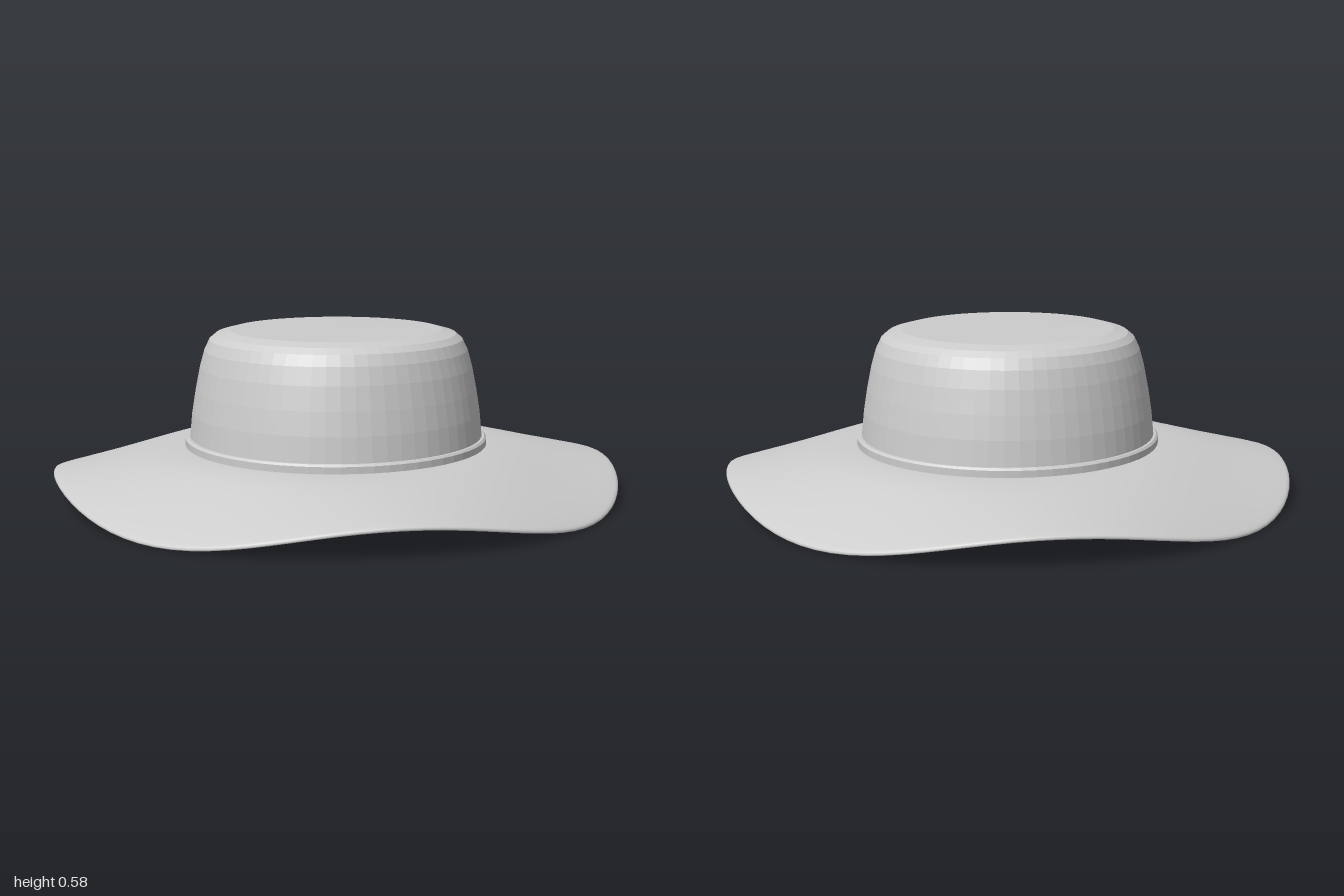
import * as THREE from 'three';
import { mergeVertices } from 'three/addons/utils/BufferGeometryUtils.js';

const felt = new THREE.MeshStandardMaterial({ color: 0xcccccc });
felt.name = 'light grey felt';

const WAVE = 0.045;          // height of the brim's waves
const PHASE = Math.PI / 12;  // one crest lies 15 degrees left of the front

// Extra depth along z: the crown is a long oval, the brim nearly round
function extraDepth(r) {
  if (r < 0.4) return 0.033 * r / 0.4;
  if (r < 0.56) return 0.033;
  return THREE.MathUtils.lerp(0.033, -0.023, (r - 0.56) / 0.44);
}

// Turn a profile of [radius, height] pairs into an oval, optionally wavy solid
function ovalLathe(name, profile, segments, { wavy = false, smooth = false } = {}) {
  let geo = new THREE.LatheGeometry(profile.map(([r, y]) => new THREE.Vector2(r, y)), segments);
  const pos = geo.attributes.position;
  for (let i = 0; i < pos.count; i++) {
    const x = pos.getX(i), z = pos.getZ(i);
    const r = Math.hypot(x, z);
    const angle = Math.atan2(x, z);
    pos.setZ(i, Math.cos(angle) * (r + extraDepth(r)));
    if (wavy) {
      const t = Math.max(0, (r - 0.55) / 0.45);
      pos.setY(i, pos.getY(i) + WAVE * Math.pow(t, 1.5) * Math.cos(4 * (angle - PHASE)));
    }
  }
  geo.deleteAttribute('uv');
  geo.deleteAttribute('normal');
  geo = smooth ? mergeVertices(geo, 1e-5) : geo.toNonIndexed();
  geo.computeVertexNormals();
  const mesh = new THREE.Mesh(geo, felt);
  mesh.name = name;
  return mesh;
}

export function createModel() {
  const hat = new THREE.Group();
  hat.name = 'hat';

  // Crown: outer wall up to the flat top, then the lining back down
  const outer = [
    [0.524, 0.165], [0.52, 0.21], [0.512, 0.29], [0.499, 0.37], [0.483, 0.45],
    [0.466, 0.51], [0.448, 0.547], [0.425, 0.566], [0.375, 0.579], [0.2, 0.581], [0, 0.581],
  ];
  const lining = [
    [0, 0.566], [0.37, 0.564], [0.41, 0.552], [0.434, 0.535], [0.451, 0.504],
    [0.468, 0.446], [0.484, 0.367], [0.497, 0.288], [0.505, 0.21], [0.509, 0.165],
  ];
  hat.add(ovalLathe('crown', [...outer, ...lining, outer[0]], 64));

  // Narrow raised band where crown meets brim, also rimming the opening below
  hat.add(ovalLathe('band', [
    [0.516, 0.154], [0.528, 0.154], [0.537, 0.175], [0.537, 0.198],
    [0.53, 0.205], [0.516, 0.205], [0.516, 0.154],
  ], 64));

  // Brim: thin closed sheet sloping down and rippling in four waves
  const top = new THREE.SplineCurve([
    [0.525, 0.176], [0.6, 0.169], [0.7, 0.15], [0.85, 0.107], [0.95, 0.075], [0.99, 0.06],
  ].map(([r, y]) => new THREE.Vector2(r, y))).getPoints(16).map((p) => [p.x, p.y]);
  const under = top.map(([r, y]) => [r, y - 0.015]);
  hat.add(ovalLathe('brim', [
    ...under, [0.997, 0.046], [1, 0.05], [0.997, 0.056], ...top.reverse(), under[0],
  ], 96, { wavy: true, smooth: true }));

  return hat;
}
